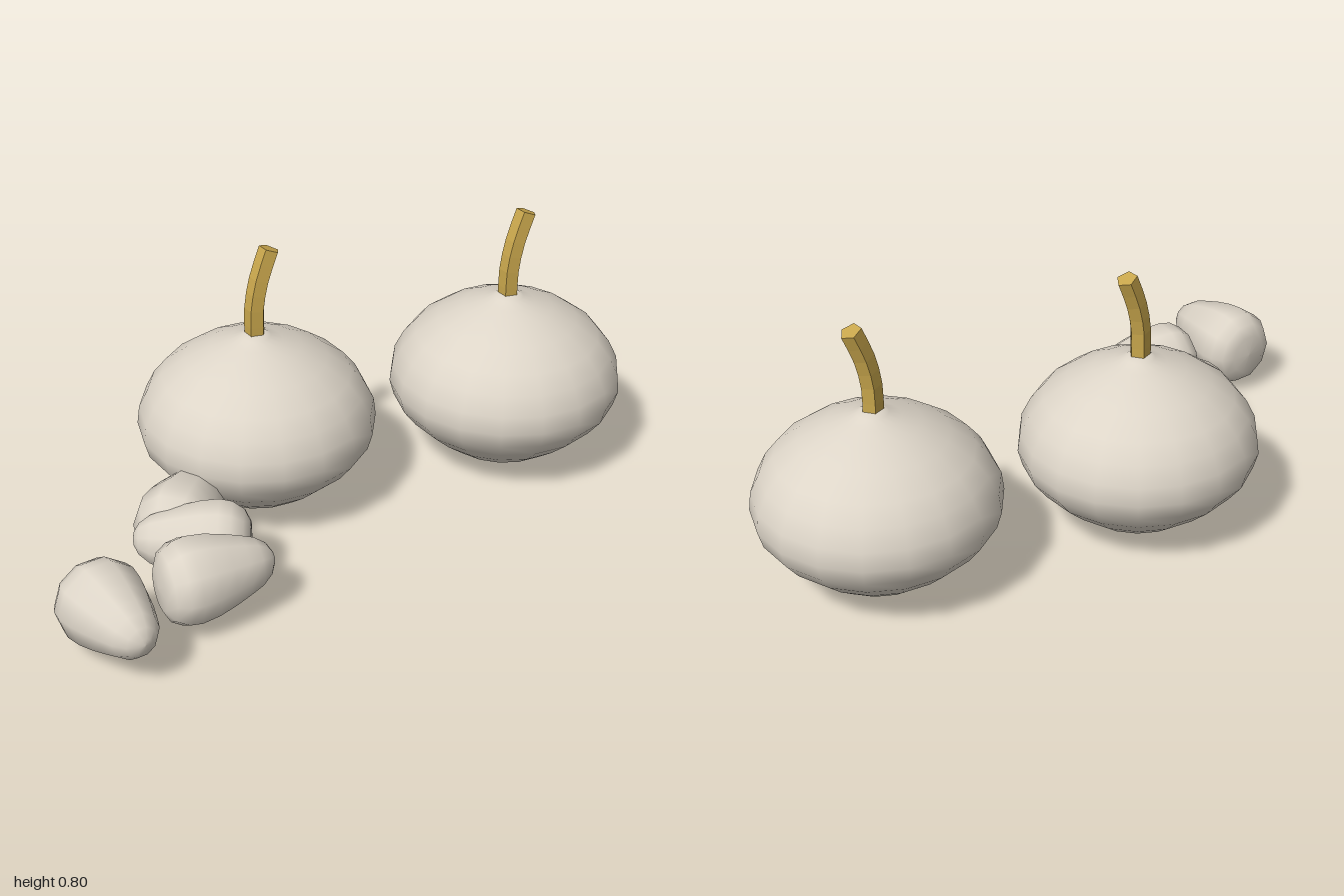
import * as THREE from 'three';

const pts = (list) => list.map(([r, y]) => new THREE.Vector2(r, y));

export function createModel() {
  const skin = new THREE.MeshStandardMaterial({ color: 0xddd5c8 });
  skin.name = 'paleSkin';
  const dry = new THREE.MeshStandardMaterial({ color: 0xc8a64c, flatShading: true });
  dry.name = 'dryStem';

  const model = new THREE.Group();
  model.name = 'garlic';
  const add = (parent, name, geometry, material) => {
    const mesh = new THREE.Mesh(geometry, material);
    mesh.name = name;
    parent.add(mesh);
    return mesh;
  };

  // Round bulb with a flattened base and a short neck
  const bulbGeometry = new THREE.LatheGeometry(pts([
    [0, 0.004], [0.09, 0.006], [0.125, 0.018], [0.175, 0.05], [0.24, 0.1], [0.3, 0.155],
    [0.338, 0.205], [0.352, 0.255], [0.345, 0.31], [0.318, 0.365], [0.278, 0.415],
    [0.21, 0.465], [0.135, 0.502], [0.08, 0.52], [0.045, 0.535], [0.03, 0.545], [0, 0.546],
  ]), 18);

  // Five-sided stem, bent along a curve towards +x
  const path = new THREE.CatmullRomCurve3([
    [0, 0.52], [0, 0.62], [0.018, 0.71], [0.052, 0.797],
  ].map(([x, y]) => new THREE.Vector3(x, y, 0)));
  const stemGeometry = new THREE.CylinderGeometry(0.031, 0.031, 1, 5, 6, false, Math.PI / 2);
  const p = stemGeometry.attributes.position;
  for (let i = 0; i < p.count; i++) {
    const t = p.getY(i) + 0.5;
    const c = path.getPoint(t);
    const d = path.getTangent(t);
    p.setXYZ(i, c.x + p.getX(i) * d.y, c.y - p.getX(i) * d.x, p.getZ(i));
  }
  stemGeometry.computeVertexNormals();

  [[-0.12, -0.15], [0.64, 0.065]].forEach(([x, z], i) => {
    const group = new THREE.Group();
    group.name = `wholeBulb${i + 1}`;
    group.position.set(x, 0, z);
    add(group, 'bulb', bulbGeometry, skin);
    add(group, 'stem', stemGeometry, dry);
    model.add(group);
  });

  // Loose clove: blunt at the start, tapering along +z
  const cloveGeometry = new THREE.LatheGeometry(pts([
    [0, 0], [0.065, 0.004], [0.1, 0.022], [0.12, 0.055], [0.125, 0.09], [0.118, 0.14],
    [0.104, 0.19], [0.086, 0.24], [0.07, 0.28], [0.046, 0.312], [0.02, 0.327], [0, 0.33],
  ]), 10);
  cloveGeometry.rotateY(Math.PI / 2).rotateX(Math.PI / 2);
  const q = cloveGeometry.attributes.position;
  for (let i = 0; i < q.count; i++) q.setY(i, q.getY(i) + 0.05 * q.getZ(i));

  // Blunt end position (x, z) and pointing direction (x, z)
  [
    [-0.872, 0.17, 0, 1],
    [-0.715, 0.29, 0.97, 0.2],
    [-0.395, 0.255, -0.82, -0.57],
    [-0.59, 0.12, 0.77, -0.64],
  ].forEach(([x, z, dx, dz], i) => {
    const clove = add(model, `clove${i + 1}`, cloveGeometry, skin);
    clove.position.set(x, 0.146, z);
    clove.rotation.y = Math.atan2(dx, dz);
  });

  return model;
}
